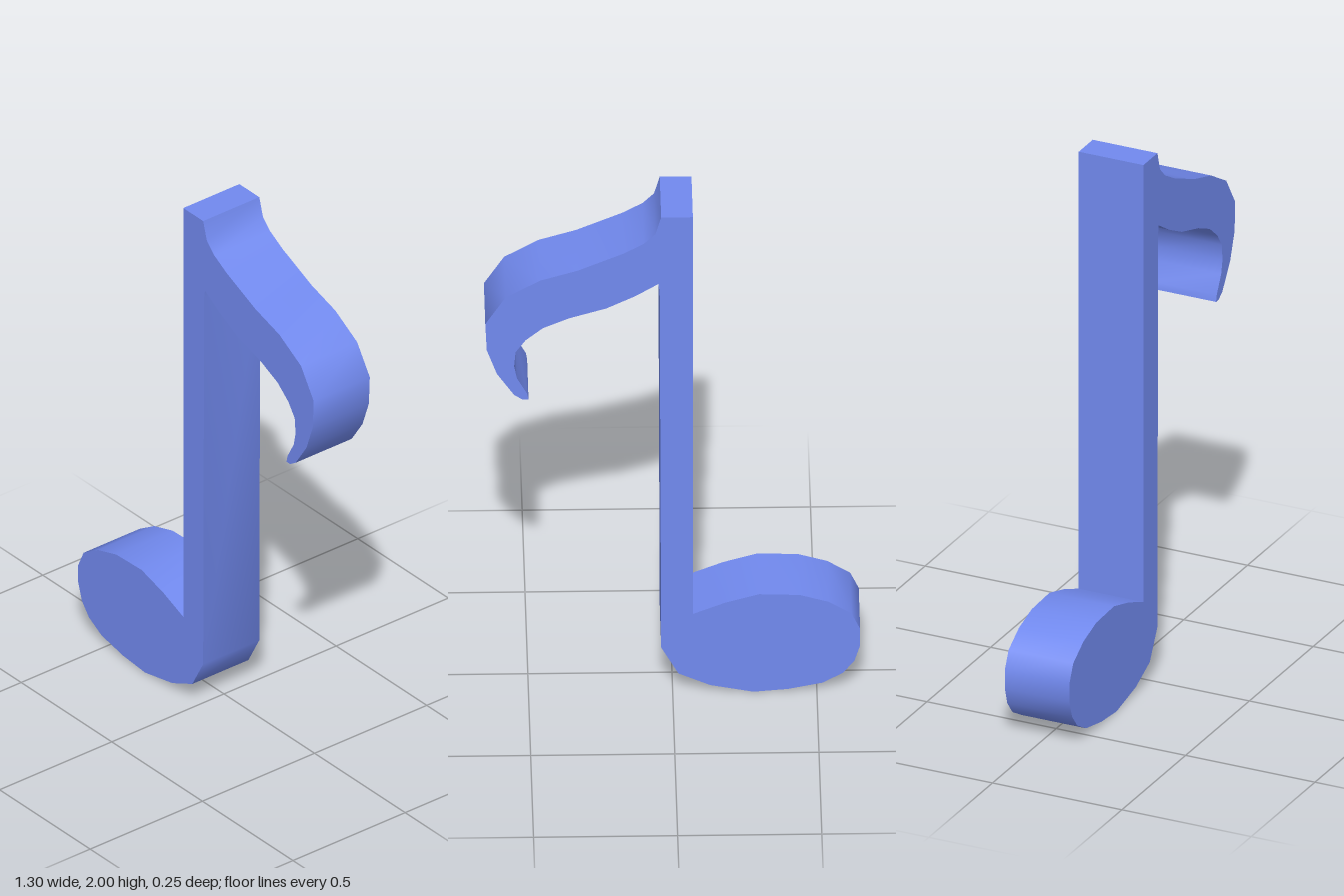
import * as THREE from 'three';
import { toCreasedNormals } from 'three/addons/utils/BufferGeometryUtils.js';

const DEPTH = 0.25;

// Outline sections, running clockwise from the top of the stem
const stemTop = [[-0.07, 2], [0.04, 2]];
const flagOuter = [
  [0.06, 1.93], [0.1, 1.89], [0.17, 1.85], [0.33, 1.78], [0.46, 1.74], [0.58, 1.67],
  [0.65, 1.56], [0.645, 1.45], [0.61, 1.35], [0.55, 1.26], [0.52, 1.24],
];
const flagInner = [
  [0.5, 1.24], [0.505, 1.265], [0.54, 1.33], [0.55, 1.38], [0.545, 1.44], [0.51, 1.49],
  [0.45, 1.54], [0.36, 1.58], [0.23, 1.62], [0.13, 1.67], [0.05, 1.72], [0.045, 1.69],
];
const headBottom = [
  [0.04, 0.19], [-0.02, 0.08], [-0.13, 0.03], [-0.28, 0], [-0.4, 0.01],
  [-0.52, 0.035], [-0.59, 0.075], [-0.63, 0.125], [-0.65, 0.19],
];
const headTop = [
  [-0.65, 0.26], [-0.62, 0.325], [-0.54, 0.375], [-0.44, 0.405],
  [-0.3, 0.41], [-0.18, 0.375], [-0.07, 0.33],
];

export function createModel() {
  const group = new THREE.Group();
  group.name = 'musicNote';

  // Stem, flag and head form one continuous slab
  const outline = [...stemTop, ...flagOuter, ...flagInner, ...headBottom, ...headTop];
  const shape = new THREE.Shape(outline.map(([x, y]) => new THREE.Vector2(x, y)));
  const slab = new THREE.ExtrudeGeometry(shape, { depth: DEPTH, bevelEnabled: false });
  slab.translate(0, 0, -DEPTH / 2);

  // Rounded walls shade smoothly, the rim stays sharp
  const note = new THREE.Mesh(
    toCreasedNormals(slab, THREE.MathUtils.degToRad(50)),
    new THREE.MeshStandardMaterial({ color: 0x7189ee }),
  );
  note.name = 'noteBody';
  group.add(note);
  return group;
}
